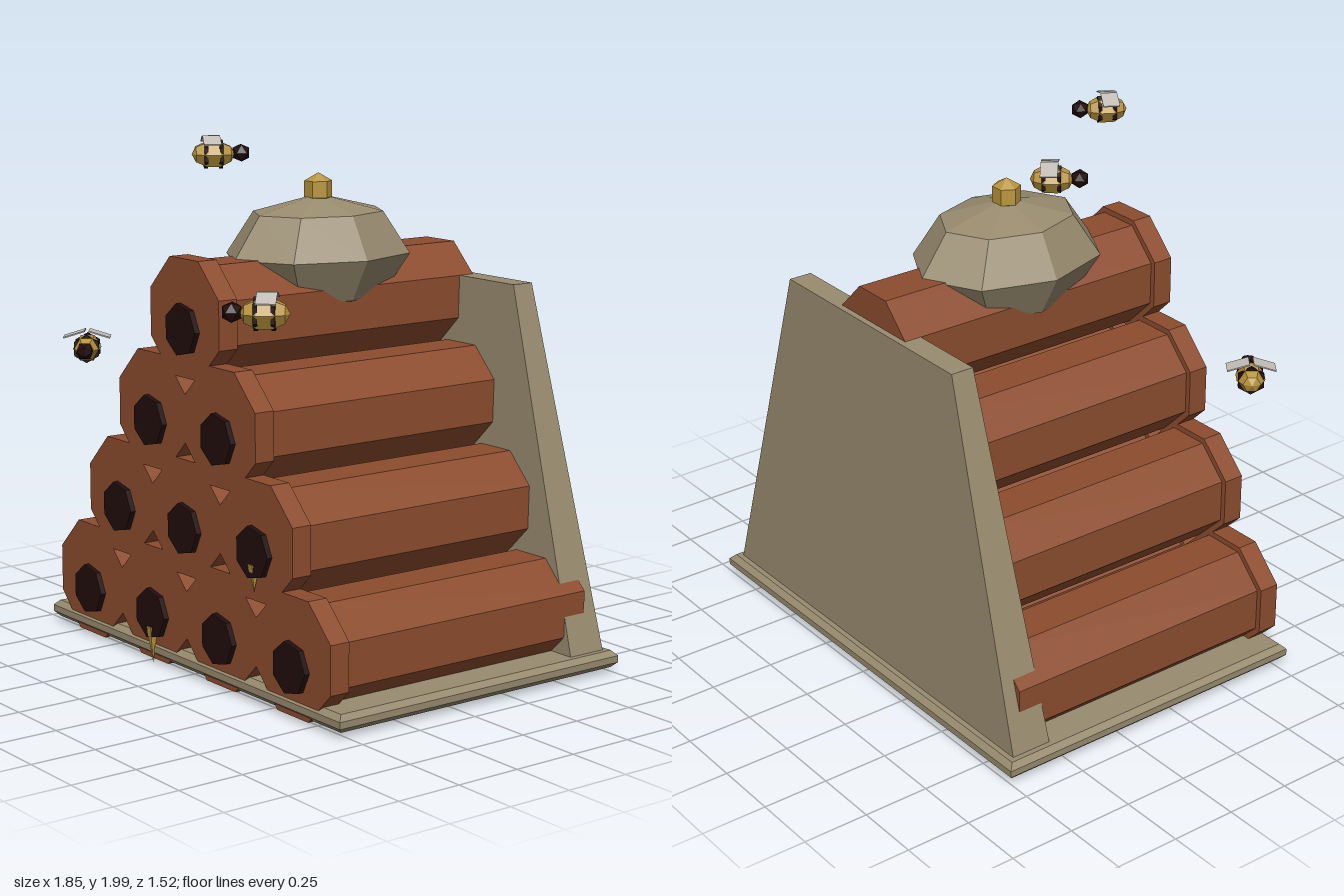
import * as THREE from 'three';

const mat = (name, color, extra = {}) =>
  Object.assign(new THREE.MeshStandardMaterial({ color, flatShading: true, ...extra }), { name });

export function createModel() {
  const stone = mat('stone', 0x988b6f);
  const clay = mat('clay', 0x8c4c2e);
  const gold = mat('gold', 0xb8943c);
  const dark = mat('dark', 0x220d0d);
  const wingGrey = mat('wingGrey', 0xc4c0b8, { side: THREE.DoubleSide });

  const model = new THREE.Group();
  model.name = 'beehive';

  const add = (parent, name, geometry, material, x = 0, y = 0, z = 0) => {
    const mesh = new THREE.Mesh(geometry, material);
    mesh.name = name;
    mesh.position.set(x, y, z);
    parent.add(mesh);
    return mesh;
  };

  // prism lying along z, radius measured to the corners
  const prism = (radius, length, sides, start) =>
    new THREE.CylinderGeometry(radius, radius, length, sides, 1, false, start).rotateX(Math.PI / 2);

  // bevelled base slab
  const slab = new THREE.Shape();
  slab.moveTo(-0.905, -0.63).lineTo(0.905, -0.63).lineTo(0.905, 0.63).lineTo(-0.905, 0.63).closePath();
  const baseGeo = new THREE.ExtrudeGeometry(slab, {
    depth: 0.025, bevelEnabled: true, bevelSize: 0.02, bevelThickness: 0.02, bevelSegments: 1,
  }).rotateX(-Math.PI / 2);
  add(model, 'base', baseGeo, stone, 0, 0.05, -0.11);

  // back wall, tapering upwards in width and depth
  const wallGeo = new THREE.BoxGeometry(2, 1.33, 2);
  const p = wallGeo.attributes.position;
  for (let i = 0; i < p.count; i++) {
    const top = p.getY(i) > 0;
    p.setX(i, p.getX(i) * (top ? 0.5 : 0.885));
    p.setZ(i, p.getZ(i) * (top ? 0.045 : 0.08));
  }
  wallGeo.computeVertexNormals();
  add(model, 'backWall', wallGeo, stone, 0, 0.757, -0.639);

  // pyramid of clay tubes, each with a collar and a dark opening
  const corner = 1 / Math.cos(Math.PI / 8);
  const tubeGeo = prism(0.195 * corner, 1.13, 8, Math.PI / 8);
  const collarGeo = prism(0.216 * corner, 0.08, 8, Math.PI / 8);
  const holeGeo = prism(0.097, 0.04, 7, Math.PI / 2);
  for (let row = 0; row < 4; row++) {
    for (let i = 0; i < 4 - row; i++) {
      const tube = new THREE.Group();
      tube.name = 'clayTube';
      tube.position.set((i - (3 - row) / 2) * 0.432, 0.24 + row * 0.367, 0);
      add(tube, 'tubeBody', tubeGeo, clay, 0, 0, -0.095);
      add(tube, 'collar', collarGeo, clay, 0, 0, 0.493);
      add(tube, 'opening', holeGeo, dark, 0, -0.04, 0.534);
      model.add(tube);
    }
  }

  // stone dome with a gold knob
  add(model, 'dome', new THREE.SphereGeometry(1, 8, 4).scale(0.295, 0.22, 0.38), stone, 0, 1.53, -0.07);
  add(model, 'knob', new THREE.SphereGeometry(0.06, 6, 3), gold, 0, 1.768, -0.07);

  // honey drips under two of the openings
  for (const [x, y, h] of [[0.432, 0.475, 0.1], [-0.216, 0.08, 0.14]]) {
    add(model, 'honeyDrip', new THREE.ConeGeometry(0.024, h, 5).rotateX(Math.PI), gold, x, y, 0.54);
  }

  // bees, modelled heading towards +z
  const makeBee = (x, y, z, dx, dz, size) => {
    const bee = new THREE.Group();
    bee.name = 'bee';
    const body = new THREE.SphereGeometry(1, 6, 5).rotateX(Math.PI / 2).scale(0.055, 0.055, 0.08);
    add(bee, 'beeBody', body, gold);
    for (const s of [-0.028, 0.028]) add(bee, 'stripe', prism(0.054, 0.014, 6, 0), dark, 0, 0, s);
    add(bee, 'beeHead', new THREE.IcosahedronGeometry(0.036, 0), dark, 0, 0.004, 0.103);
    for (const side of [-1, 1]) {
      const wing = add(bee, 'wing', new THREE.BoxGeometry(0.085, 0.005, 0.065), wingGrey,
        side * 0.048, 0.054, -0.008);
      wing.rotation.z = -side * 0.3;
    }
    bee.position.set(x, y, z);
    bee.rotation.y = Math.atan2(dx, dz);
    bee.scale.setScalar(size);
    model.add(bee);
  };
  makeBee(-0.7, 1.135, 0.505, 0.085, 0.065, 1);
  makeBee(0.106, 1.935, 0.475, 0.05, -0.085, 0.95);
  makeBee(0.635, 1.45, 0.638, -0.07, 0.082, 1.08);

  return model;
}
